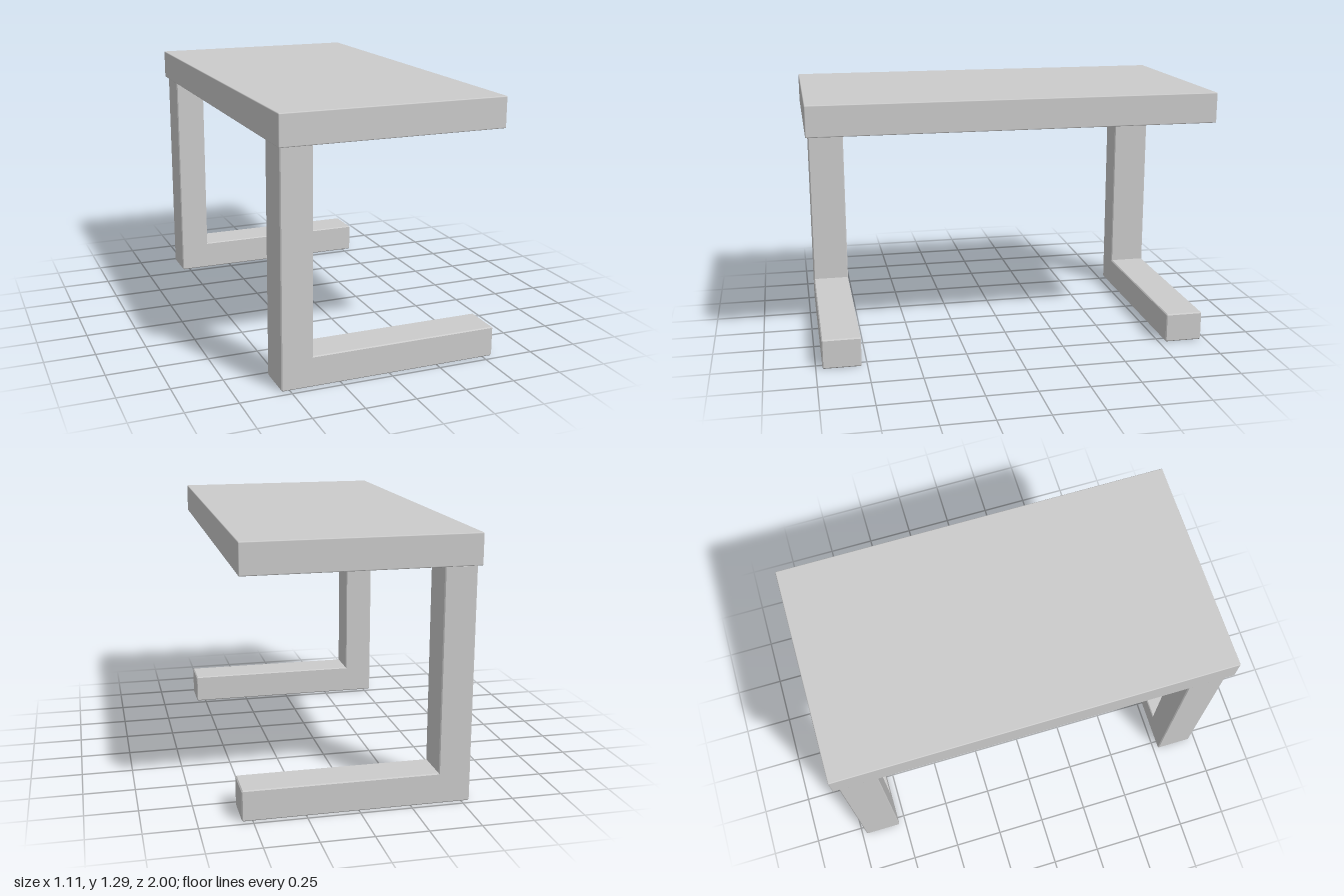
import * as THREE from 'three';
import { RoundedBoxGeometry } from 'three/addons/geometries/RoundedBoxGeometry.js';

const EDGE = 0.005; // softened edge size
const LEG_WIDTH = 0.19;

// L-shaped side profile: upright post joined to a floor runner
function legGeometry() {
  const c = 0.006; // small chamfer on the outer corners
  const profile = new THREE.Shape([
    [-0.54 + c, 0], [0.55 - c, 0], [0.55, c], [0.55, 0.15 - c], [0.55 - c, 0.15],
    [-0.385, 0.15], [-0.385, 1.14], [-0.54, 1.14], [-0.54, c],
  ].map(([x, y]) => new THREE.Vector2(x, y)));
  const geometry = new THREE.ExtrudeGeometry(profile, {
    depth: LEG_WIDTH - 2 * EDGE,
    bevelEnabled: true,
    bevelThickness: EDGE,
    bevelSize: EDGE,
    bevelOffset: -EDGE,
    bevelSegments: 1,
  });
  return geometry.translate(0, 0, EDGE - LEG_WIDTH / 2);
}

export function createModel() {
  const model = new THREE.Group();
  model.name = 'sideTable';
  const material = new THREE.MeshStandardMaterial({ color: 0xcccccc });

  // Table top slab
  const top = new THREE.Mesh(new RoundedBoxGeometry(1.105, 0.15, 2, 2, EDGE), material);
  top.name = 'tableTop';
  top.position.set(-0.0025, 1.215, 0);
  model.add(top);

  // Two cantilever legs, one near each end
  const geometry = legGeometry();
  for (const [name, z] of [['frontLeg', 0.873], ['backLeg', -0.88]]) {
    const leg = new THREE.Mesh(geometry, material);
    leg.name = name;
    leg.position.z = z;
    model.add(leg);
  }
  return model;
}
